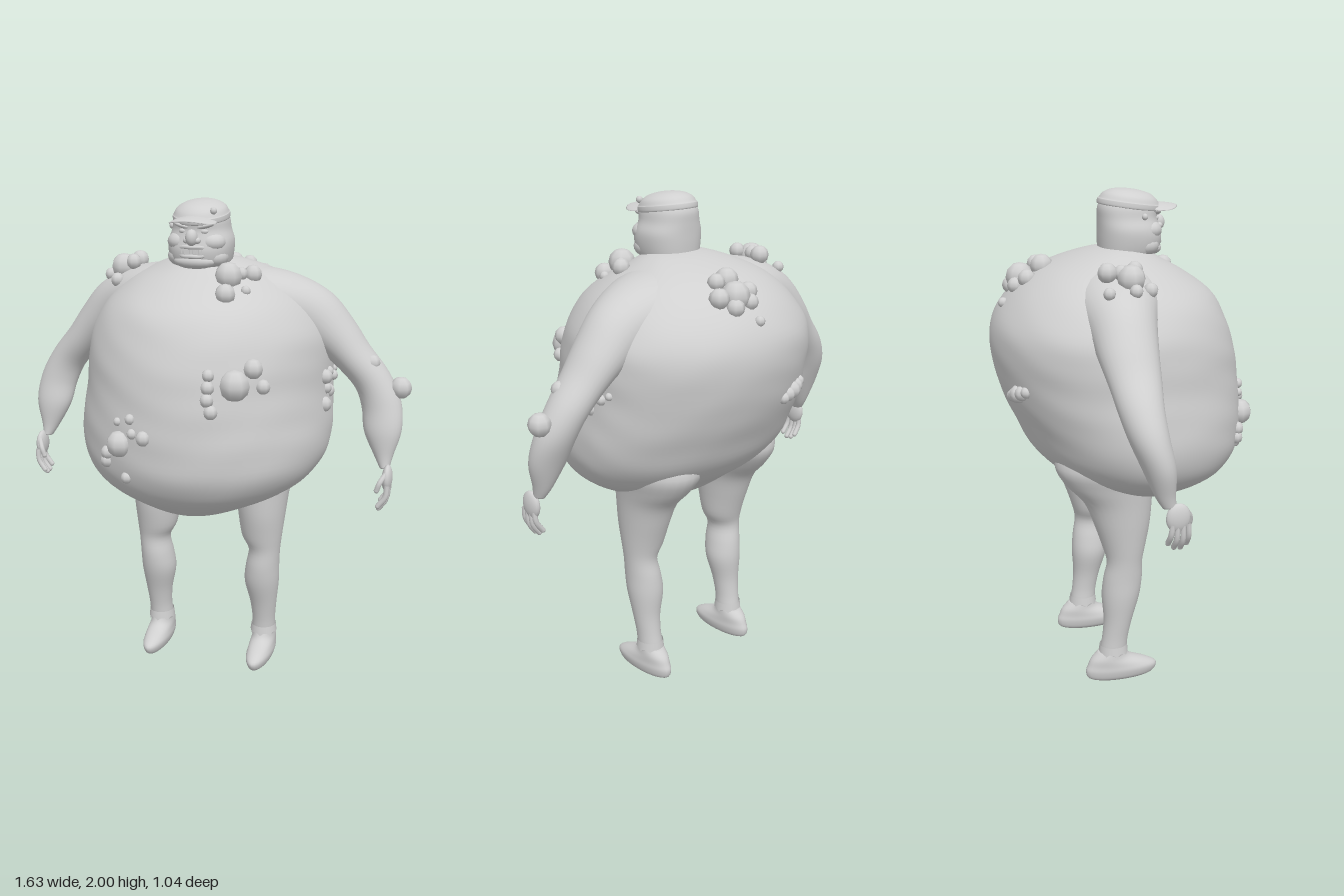
import * as THREE from 'three';

const skin = new THREE.MeshStandardMaterial({ color: 0xd0d0d0, side: THREE.DoubleSide });
skin.name = 'plain grey';

function add(parent, name, geometry, x = 0, y = 0, z = 0) {
  const mesh = new THREE.Mesh(geometry, skin);
  mesh.name = name;
  mesh.position.set(x, y, z);
  parent.add(mesh);
  return mesh;
}

const blob = (parent, name, [x, y, z], [rx, ry, rz], seg = 16) =>
  add(parent, name, new THREE.SphereGeometry(1, seg, Math.ceil(seg * 0.7)).scale(rx, ry, rz), x, y, z);

// Smooth interpolation of whole section rows
function rowAt(rows, t) {
  const i = Math.min(Math.floor(t), rows.length - 2), f = t - i;
  const at = (k) => rows[Math.max(0, Math.min(rows.length - 1, k))];
  const [p0, p1, p2, p3] = [at(i - 1), at(i), at(i + 1), at(i + 2)];
  return p1.map((b, k) => {
    const a = p0[k], c = p2[k], d = p3[k];
    return b + 0.5 * f * (c - a + f * (2 * a - 5 * b + 4 * c - d + f * (3 * (b - c) + d - a)));
  });
}

// Skin over rounded sections, listed bottom to top: [x, y, z, rx, front rz, tilt, back rz]
function loft(rows, { seg = 28, steps = 4, power = 2, bump = () => 0 } = {}) {
  const pos = [], idx = [], count = (rows.length - 1) * steps;
  const round = (v) => Math.sign(v) * Math.abs(v) ** (2 / power);
  for (let i = 0; i <= count; i++) {
    const [x, y, z, rx, rf, tilt, rb] = rowAt(rows, i / steps);
    for (let j = 0; j < seg; j++) {
      const a = (j / seg) * Math.PI * 2, k = 1 + bump(a, y), s = -round(Math.sin(a));
      const ox = round(Math.cos(a)) * rx * k, oz = s * (s > 0 ? rf : rb) * k;
      pos.push(x + ox * Math.cos(tilt), y + ox * Math.sin(tilt), z + oz);
      if (i < count) {
        const p = i * seg + j, q = i * seg + (j + 1) % seg;
        idx.push(p, q, p + seg, q, q + seg, p + seg);
      }
    }
  }
  const last = rows[rows.length - 1], n = pos.length / 3;
  pos.push(...rows[0].slice(0, 3), ...last.slice(0, 3));
  for (let j = 0; j < seg; j++) {
    const k = (j + 1) % seg, top = count * seg;
    idx.push(n, k, j, n + 1, top + j, top + k);
  }
  const g = new THREE.BufferGeometry();
  g.setAttribute('position', new THREE.Float32BufferAttribute(pos, 3));
  g.setIndex(idx);
  g.computeVertexNormals();
  return g;
}

// Centred sections given as [y, half width, front z, back z]; lean moves the widest point back
const upright = (rows, lean = 0) => rows.map(([y, a, f, b]) => {
  const z = (f + b) / 2 - lean * (f - b);
  return [0, y, z, a, f - z, 0, z - b];
});
const mirror = (rows, s) => rows.map(([x, y, z, rx, rz, tilt = 0]) => [s * x, y, z, rx, rz, s * tilt, rz]);

const bodyRows = upright([
  [0.74, 0.04, 0.17, 0.04], [0.76, 0.15, 0.25, -0.06], [0.8, 0.25, 0.335, -0.14], [0.86, 0.375, 0.42, -0.22],
  [0.92, 0.455, 0.47, -0.3], [1.0, 0.505, 0.5, -0.37], [1.1, 0.52, 0.505, -0.42], [1.2, 0.515, 0.5, -0.465],
  [1.3, 0.505, 0.49, -0.495], [1.4, 0.505, 0.47, -0.51], [1.5, 0.485, 0.435, -0.5], [1.6, 0.42, 0.375, -0.44],
  [1.68, 0.33, 0.265, -0.35], [1.73, 0.235, 0.175, -0.25], [1.77, 0.13, 0.11, -0.12], [1.785, 0.04, 0.06, -0.02]], 0.1);

// Wrist to shoulder, ending flared and buried in the body
const armRows = [
  [0.748, 0.955, -0.035, 0.02, 0.026, 0.1], [0.74, 1.0, -0.05, 0.038, 0.038, 0.1], [0.728, 1.1, -0.07, 0.076, 0.06, 0.1],
  [0.712, 1.2, -0.1, 0.08, 0.072, 0.2], [0.67, 1.29, -0.115, 0.074, 0.082, 0.5], [0.6, 1.375, -0.115, 0.075, 0.096, 0.8],
  [0.52, 1.46, -0.115, 0.092, 0.112, 0.8], [0.42, 1.54, -0.105, 0.118, 0.13, 0.95], [0.3, 1.595, -0.085, 0.122, 0.165, 1.2],
  [0.17, 1.62, -0.06, 0.12, 0.19, 1.4], [0.05, 1.63, -0.05, 0.11, 0.18, 1.5]];

// Ankle to hip
const legRows = [
  [0.24, 0.09, -0.095, 0.044, 0.05], [0.24, 0.14, -0.09, 0.05, 0.055], [0.242, 0.2, -0.082, 0.05, 0.054],
  [0.242, 0.28, -0.07, 0.058, 0.06], [0.237, 0.38, -0.058, 0.074, 0.078], [0.242, 0.46, -0.05, 0.071, 0.08],
  [0.25, 0.535, -0.045, 0.067, 0.073], [0.238, 0.6, -0.045, 0.086, 0.088], [0.235, 0.7, -0.052, 0.1, 0.115],
  [0.232, 0.8, -0.068, 0.114, 0.14], [0.225, 0.88, -0.1, 0.135, 0.18], [0.215, 0.96, -0.12, 0.16, 0.2],
  [0.2, 1.06, -0.12, 0.15, 0.17]];

const shoeRows = [
  [0.24, 0, -0.05, 0.032, 0.115], [0.24, 0.015, -0.055, 0.047, 0.145], [0.24, 0.045, -0.055, 0.055, 0.154],
  [0.24, 0.07, -0.07, 0.053, 0.13], [0.24, 0.1, -0.1, 0.05, 0.085], [0.24, 0.13, -0.095, 0.046, 0.058]];

// Depth of the belly or back surface at a given x and y
function bodyZ(x, y, side) {
  const i = bodyRows.findIndex((r) => r[1] > y), a = bodyRows[i - 1], b = bodyRows[i];
  const f = (y - a[1]) / (b[1] - a[1]), m = (k) => a[k] + (b[k] - a[k]) * f;
  const u = Math.min(1, Math.abs(x + 0.015) / m(3));
  return m(2) + side * m(side > 0 ? 4 : 6) * Math.sqrt(1 - u * u);
}

function buildLimbs(parent, s) {
  const side = s > 0 ? 'left' : 'right';
  add(parent, side + 'Arm', loft(mirror(armRows, s), { steps: 5 }));
  add(parent, side + 'Leg', loft(mirror(legRows, s)));
  add(parent, side + 'Shoe', loft(mirror(shoeRows, s)));
  // Ragged trouser cuff
  const cuff = new THREE.CylinderGeometry(0.053, 0.057, 0.03, 24, 1, true).scale(1, 1, 1.08);
  const p = cuff.attributes.position;
  for (let i = 0; i < p.count; i++) if (p.getY(i) < 0) p.setY(i, -0.015 - 0.012 * ((i % 25) % 24 % 3 === 0));
  add(parent, side + 'Cuff', cuff, s * 0.24, 0.145, -0.09);
  // Hand with curled fingers
  const hand = new THREE.Group();
  hand.name = side + 'Hand';
  parent.add(hand);
  blob(hand, 'palm', [s * 0.764, 0.92, -0.008], [0.021, 0.055, 0.047]);
  const finger = (name, pts, r) => {
    const v = pts.map(([x, y, z]) => new THREE.Vector3(s * x, y, z));
    add(hand, name, new THREE.TubeGeometry(new THREE.CatmullRomCurve3(v), 8, r, 8));
    blob(hand, name + 'Tip', v[2].toArray(), [r, r, r], 8);
  };
  [0.032, 0.01, -0.013, -0.034].forEach((z, i) => {
    const lift = [0.015, 0, 0.003, 0.02][i];
    finger('finger', [[0.77, 0.9, z * 0.9], [0.765, 0.835 + lift, z], [0.738, 0.795 + lift, z * 1.05]], 0.011);
  });
  finger('thumb', [[0.762, 0.945, 0.02], [0.742, 0.91, 0.045], [0.732, 0.88, 0.045]], 0.011);
}

function buildHead(parent) {
  const head = new THREE.Group();
  head.name = 'head';
  parent.add(head);
  add(head, 'skull', loft(upright([
    [1.69, 0.09, 0.09, -0.06], [1.74, 0.105, 0.13, -0.07], [1.765, 0.118, 0.163, -0.073], [1.81, 0.127, 0.175, -0.075],
    [1.85, 0.127, 0.168, -0.075], [1.89, 0.113, 0.158, -0.075], [1.93, 0.106, 0.16, -0.074], [1.96, 0.09, 0.13, -0.06]]),
  { power: 2.3, seg: 36 }));
  // Close cap, lower at the front
  const cap = add(head, 'cap', loft(upright([
    [-0.012, 0.1, 0.118, -0.115], [-0.01, 0.11, 0.13, -0.125], [0.008, 0.11, 0.13, -0.125], [0.012, 0.107, 0.125, -0.12],
    [0.033, 0.095, 0.108, -0.105], [0.05, 0.065, 0.08, -0.075], [0.058, 0.03, 0.04, -0.035], [0.06, 0.004, 0.01, -0.005]]),
  { seg: 36 }), 0, 1.94, 0.047);
  cap.rotation.x = 0.14;
  // Arched visor
  const visor = new THREE.SphereGeometry(1, 24, 12).scale(0.094, 0.007, 0.088), p = visor.attributes.position;
  for (let i = 0; i < p.count; i++) p.setY(i, p.getY(i) - 2.4 * p.getX(i) ** 2);
  visor.computeVertexNormals();
  add(head, 'visor', visor, 0, 1.94, 0.158).rotation.x = 0.08;
  // Heavy features, sunk into the face
  blob(head, 'nose', [0, 1.866, 0.172], [0.024, 0.032, 0.026]);
  blob(head, 'chin', [0, 1.772, 0.135], [0.085, 0.03, 0.042]);
  for (const s of [-1, 1]) {
    blob(head, 'nostril', [s * 0.021, 1.855, 0.168], [0.015, 0.013, 0.015], 12);
    blob(head, 'cheek', [s * 0.062, 1.845, 0.108], [0.055, 0.04, 0.055]);
    blob(head, 'jowl', [s * 0.07, 1.787, 0.09], [0.052, 0.042, 0.06]);
    blob(head, 'eye', [s * 0.042, 1.888, 0.145], [0.018, 0.011, 0.013], 12);
    blob(head, 'brow', [s * 0.045, 1.909, 0.143], [0.04, 0.011, 0.022], 12).rotation.z = s * 0.25;
  }
  // Wide mouth: two lips around a row of teeth
  for (const [name, y, bend] of [['upperLip', 1.825, 0.004], ['lowerLip', 1.8, -0.006]]) {
    const v = [-0.07, -0.035, 0, 0.035, 0.07].map((x) =>
      new THREE.Vector3(x, y + (Math.abs(x) > 0.06 ? -bend : bend), 0.174 - 6 * x * x));
    add(head, name, new THREE.TubeGeometry(new THREE.CatmullRomCurve3(v), 16, 0.008, 8));
  }
  for (let i = -4; i <= 4; i++)
    add(head, 'tooth', new THREE.BoxGeometry(0.01, 0.016, 0.012), i * 0.0125, 1.812, 0.173 - i * i * 0.0009);
}

// Round growths, each [x, y, z, radius]
function buildWarts(parent) {
  const front = ([x, y, r]) => [x, y, bodyZ(x, y, 1), r];
  const back = ([x, y, r]) => [x, y, bodyZ(x, y, -1), r];
  const clusters = {
    chestWarts: [[0.23, 1.36, 0.06], [0.285, 1.415, 0.039], [0.32, 1.345, 0.029], [0.14, 1.4, 0.024],
      [0.14, 1.355, 0.027], [0.14, 1.31, 0.027], [0.155, 1.265, 0.028]].map(front),
    bellyWarts: [[-0.21, 1.11, 0.052], [-0.1, 1.15, 0.03], [-0.16, 1.215, 0.021], [-0.22, 1.195, 0.017],
      [-0.275, 1.06, 0.028], [-0.28, 1.025, 0.028], [-0.185, 0.975, 0.024], [-0.15, 1.16, 0.021]].map(front),
    lowerBackWarts: [[-0.21, 1.26, 0.036], [-0.18, 1.25, 0.03], [-0.24, 1.27, 0.03], [-0.15, 1.24, 0.024],
      [-0.27, 1.28, 0.023]].map(back),
    upperBackWarts: [[0.05, 1.665, -0.38, 0.057], [-0.03, 1.67, -0.37, 0.036], [0.015, 1.71, -0.3, 0.046],
      [0.08, 1.71, -0.31, 0.034], [0.125, 1.665, -0.37, 0.04], [0, 1.575, -0.46, 0.021], [0, 1.64, -0.41, 0.032],
      [0.08, 1.63, -0.41, 0.036]],
    shoulderWarts: [[-0.39, 1.71, -0.06, 0.054], [-0.35, 1.73, -0.14, 0.038], [-0.335, 1.735, -0.03, 0.032],
      [-0.39, 1.665, 0.015, 0.029], [-0.445, 1.67, -0.16, 0.024], [-0.45, 1.675, -0.06, 0.026], [-0.36, 1.73, -0.09, 0.03]],
    neckWarts: [[0.13, 1.725, 0.16, 0.054], [0.145, 1.67, 0.25, 0.04], [0.205, 1.725, 0.08, 0.036],
      [0.205, 1.675, 0.18, 0.02], [0.17, 1.73, 0.12, 0.025]],
    sideWarts: [[0.485, 1.32, 0, 0.03], [0.485, 1.33, -0.055, 0.022], [0.485, 1.25, -0.06, 0.028],
      [0.485, 1.21, 0.01, 0.032], [0.485, 1.27, -0.02, 0.024], [0.49, 1.3, -0.12, 0.022], [0.485, 1.32, -0.16, 0.016]],
    elbowWarts: [[0.77, 1.27, -0.11, 0.045], [0.655, 1.37, -0.085, 0.033]],
    headWarts: [[-0.075, 1.975, 0.06, 0.013], [0.06, 1.965, 0.13, 0.014], [-0.125, 1.9, 0.08, 0.013]],
  };
  for (const [name, list] of Object.entries(clusters)) {
    const group = new THREE.Group();
    group.name = name;
    parent.add(group);
    for (const [x, y, z, r] of list) add(group, 'wart', new THREE.SphereGeometry(r, 8, 6), x, y, z);
  }
}

export function createModel() {
  const model = new THREE.Group();
  model.name = 'bloatedFigure';
  const figure = new THREE.Group();
  figure.name = 'figure';
  figure.position.x = -0.015;
  model.add(figure);
  // Huge body with faint folds
  const folds = (a, y) => 0.003 * Math.sin(y * 38 + 2 * Math.sin(a * 3)) * Math.sin(a * 5 + y * 9);
  add(figure, 'body', loft(bodyRows, { seg: 72, bump: folds }));
  for (const s of [-1, 1]) buildLimbs(figure, s);
  buildHead(figure);
  buildWarts(model);
  return model;
}
